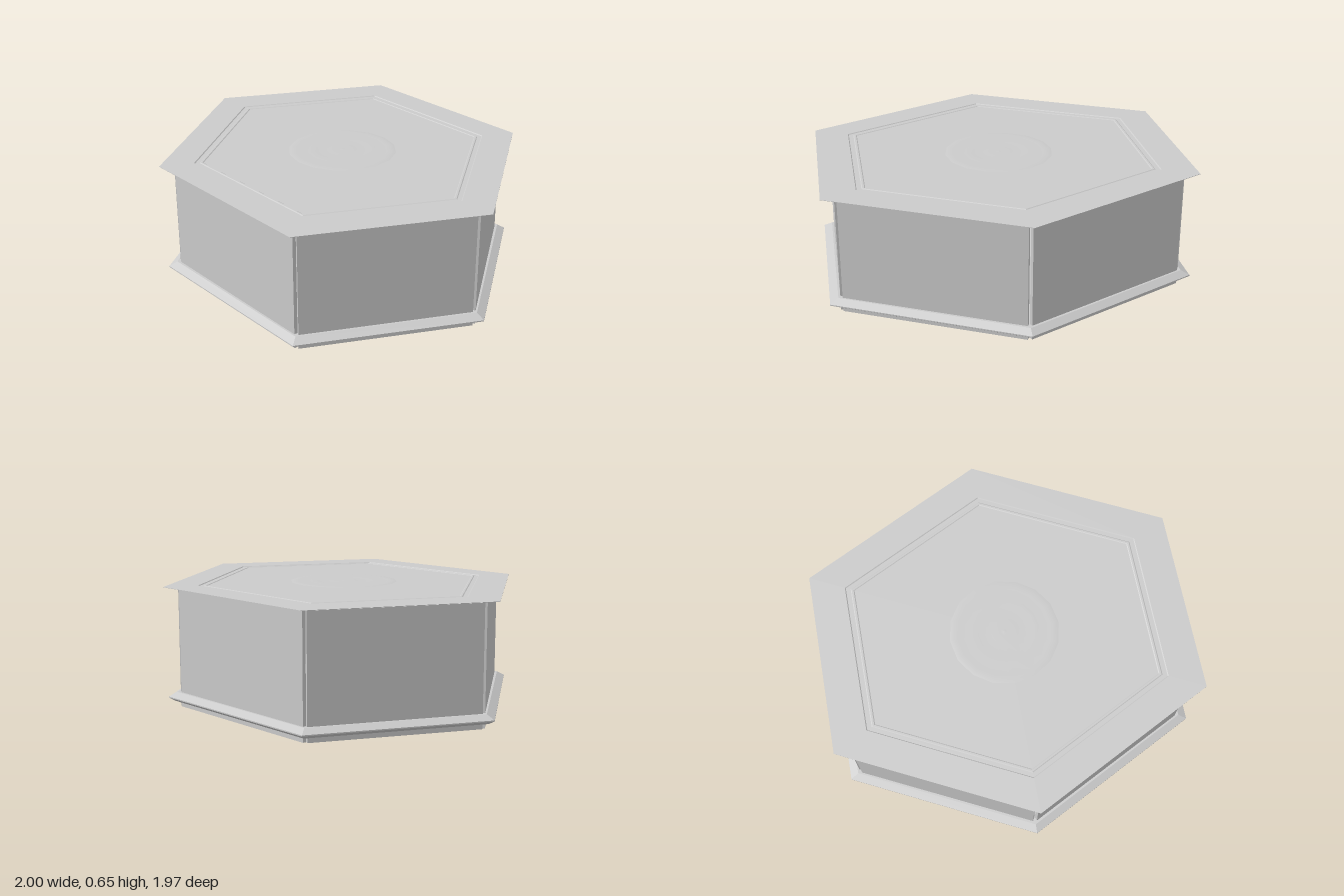
import * as THREE from 'three';

const grey = new THREE.MeshStandardMaterial({ color: 0xcccccc, flatShading: true });
const smooth = new THREE.MeshStandardMaterial({ color: 0xcccccc });

// Six-sided turned part with corners on the x axis; z is stretched a little
const STRETCH = 0.985 / Math.sin(Math.PI / 3);
function hexPart(name, profile) {
  const points = profile.map(([r, y]) => new THREE.Vector2(r, y));
  const geometry = new THREE.LatheGeometry(points, 6, Math.PI / 2);
  geometry.scale(1, 1, STRETCH);
  const mesh = new THREE.Mesh(geometry, grey);
  mesh.name = name;
  return mesh;
}

// Shallow round rosette of concentric rings, facing up
function rosette(name) {
  const points = [
    [0.295, 0], [0.27, 0.003], [0.25, 0.0015], [0.18, 0.0015], [0.165, 0.003],
    [0.14, 0.001], [0.07, 0.001], [0.055, 0.003], [0.02, 0.0015], [0, 0.003],
  ].map(([r, y]) => new THREE.Vector2(r, y));
  const mesh = new THREE.Mesh(new THREE.LatheGeometry(points, 16), smooth);
  mesh.name = name;
  return mesh;
}

export function createModel() {
  const model = new THREE.Group();
  model.name = 'hexagonalBox';

  // Lid with a thin overhanging edge, a grooved border and a sunk panel
  model.add(hexPart('lid', [
    [0, 0.632], [0.9, 0.636], [0.93, 0.643], [1, 0.652], [1, 0.654], [0.815, 0.655],
    [0.81, 0.651], [0.785, 0.651], [0.78, 0.654], [0.77, 0.654], [0.765, 0.651], [0, 0.651],
  ]));

  // Base with a pointed outer moulding and a stepped underside
  model.add(hexPart('base', [
    [0, 0.027], [0.765, 0.027], [0.77, 0.023], [0.785, 0.023], [0.79, 0.027],
    [0.815, 0.027], [0.82, 0.02], [0.86, 0.02], [0.87, 0.03], [0.95, 0.03],
    [0.985, 0.05], [0.985, 0.056], [0.94, 0.079], [0.9, 0.079], [0.89, 0.06], [0, 0.06],
  ]));

  // Six upright panels, parted by narrow slits at the corners
  const walls = new THREE.Group();
  walls.name = 'walls';
  const corners = [
    [0.925, 0], [0.465, 0.915], [-0.465, 0.915],
    [-0.925, 0], [-0.465, -0.915], [0.465, -0.915],
  ];
  const thickness = 0.02, height = 0.64;
  corners.forEach(([ax, az], i) => {
    const [bx, bz] = corners[(i + 1) % 6];
    const dx = bx - ax, dz = bz - az, length = Math.hypot(dx, dz);
    const geometry = new THREE.BoxGeometry(length - 0.025, height, thickness);
    geometry.translate(0, height / 2, -thickness / 2);
    const panel = new THREE.Mesh(geometry, grey);
    panel.position.set((ax + bx) / 2, 0, (az + bz) / 2);
    panel.rotation.y = Math.atan2(dz, -dx);
    panel.name = 'wallPanel' + (i + 1);
    walls.add(panel);
  });
  model.add(walls);

  // Rosettes on the lid and under the base
  const top = rosette('lidRosette');
  top.position.y = 0.6515;
  const bottom = rosette('baseRosette');
  bottom.rotation.x = Math.PI;
  bottom.position.y = 0.0265;
  model.add(top, bottom);

  return model;
}
